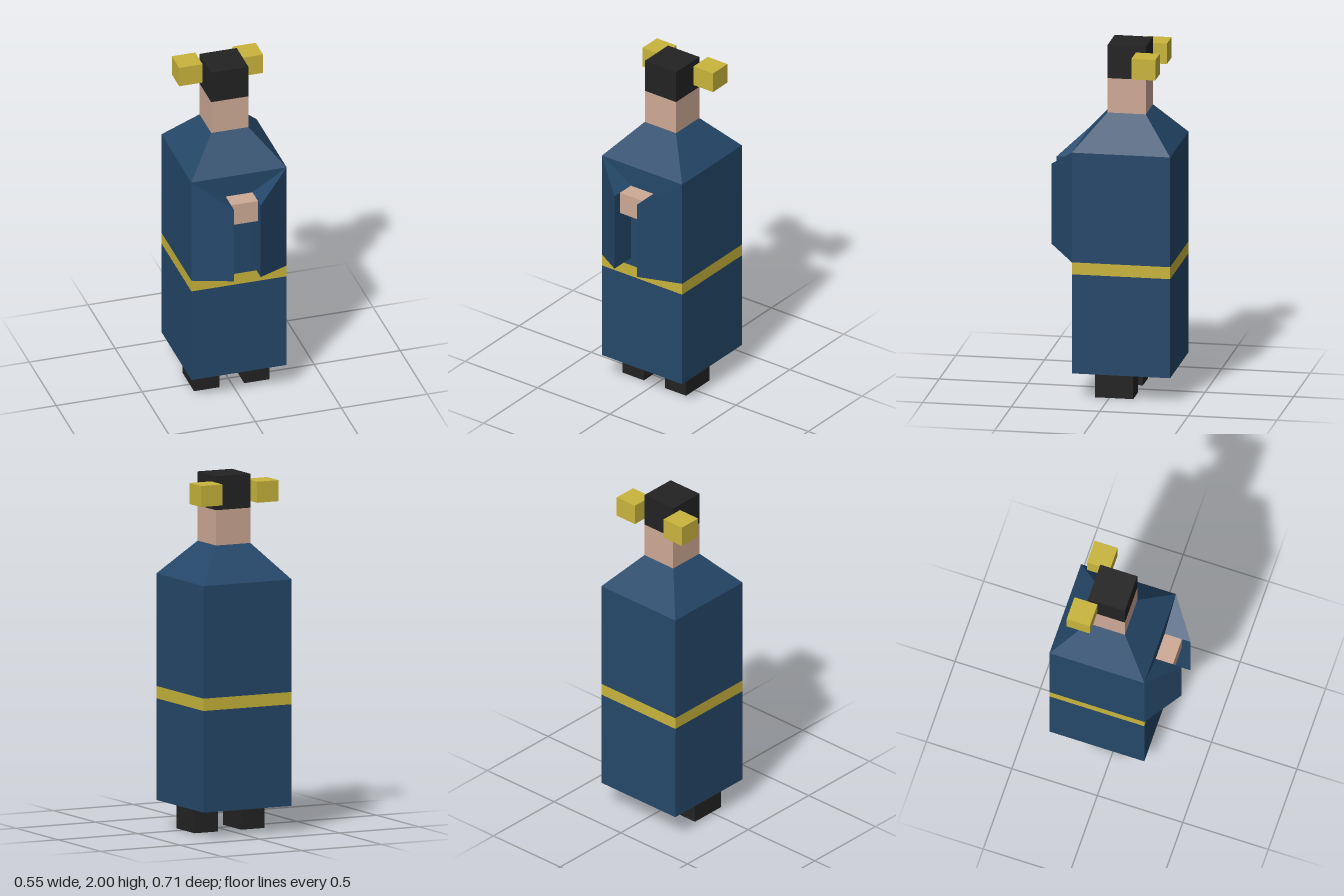
import * as THREE from 'three';

const material = (name, color, extra = {}) => {
  const m = new THREE.MeshStandardMaterial({ color, ...extra });
  m.name = name;
  return m;
};

export function createModel() {
  const model = new THREE.Group();
  model.name = 'robedFigure';
  const robe = material('robeBlue', 0x25486a);
  const gold = material('gold', 0xc9b53c);
  const skin = material('skin', 0xcfaa96);
  const black = material('black', 0x232323);

  const add = (name, geometry, mat) => {
    const mesh = new THREE.Mesh(geometry, mat);
    mesh.name = name;
    model.add(mesh);
    return mesh;
  };
  // Box given by its lower and upper limits on each axis
  const block = (name, mat, [x0, x1], [y0, y1], [z0, z1]) => {
    const g = new THREE.BoxGeometry(x1 - x0, y1 - y0, z1 - z0);
    g.translate((x0 + x1) / 2, (y0 + y1) / 2, (z0 + z1) / 2);
    return add(name, g, mat);
  };

  // Robe and belt share one rectangular section
  const W = 0.277, bodyX = [-W, W], bodyZ = [-0.355, 0.2];
  block('skirt', robe, bodyX, [0.148, 0.718], bodyZ);
  block('belt', gold, bodyX, [0.718, 0.787], bodyZ);
  block('torso', robe, bodyX, [0.787, 1.418], bodyZ);

  // Shoulders taper from the torso to the neck
  const headX = [-0.108, 0.108], headZ = [-0.186, 0.03];
  const shoulders = new THREE.BoxGeometry(2 * W, 0.194, 0.555);
  const p = shoulders.attributes.position;
  for (let i = 0; i < p.count; i++) {
    if (p.getY(i) > 0) {
      p.setX(i, Math.sign(p.getX(i)) * 0.108);
      p.setZ(i, Math.sign(p.getZ(i)) * 0.108);
    }
  }
  shoulders.computeVertexNormals();
  shoulders.translate(0, 1.515, -0.0775);
  add('shoulders', shoulders, robe);

  // Head and hair
  block('head', skin, headX, [1.612, 1.81], headZ);
  block('hair', black, headX, [1.81, 2], headZ);

  // Joined hands between the sleeves
  block('hands', skin, [-0.078, 0.078], [1.165, 1.293], [0.2, 0.301]);

  // Feet
  block('leftFoot', black, [0.068, 0.215], [0, 0.14], [-0.135, 0.08]);
  block('rightFoot', black, [-0.224, -0.077], [0, 0.14], [-0.135, 0.08]);

  // Wedge sleeve: outer corner, inner base and front tip, at top and bottom
  const sleeve = (s) => {
    const g = new THREE.BufferGeometry();
    const x = s * 0.078;
    g.setAttribute('position', new THREE.Float32BufferAttribute([
      s * W, 1.418, 0.2, x, 1.293, 0.2, x, 1.293, 0.352,
      s * W, 0.787, 0.2, x, 0.833, 0.2, x, 0.833, 0.352,
    ], 3));
    const faces = [0, 1, 2, 3, 5, 4, 0, 2, 3, 2, 5, 3, 1, 4, 2, 2, 4, 5];
    g.setIndex(s > 0 ? faces : faces.reverse());
    const flat = g.toNonIndexed();
    flat.computeVertexNormals();
    return flat;
  };

  // Mirrored sleeves and hair buns
  for (const s of [1, -1]) {
    const side = s > 0 ? 'left' : 'right';
    add(side + 'Sleeve', sleeve(s), robe);
    const bunX = s > 0 ? [0.108, 0.244] : [-0.244, -0.108];
    block(side + 'HairBun', gold, bunX, [1.847, 1.965], [-0.265, -0.13]);
  }
  return model;
}
